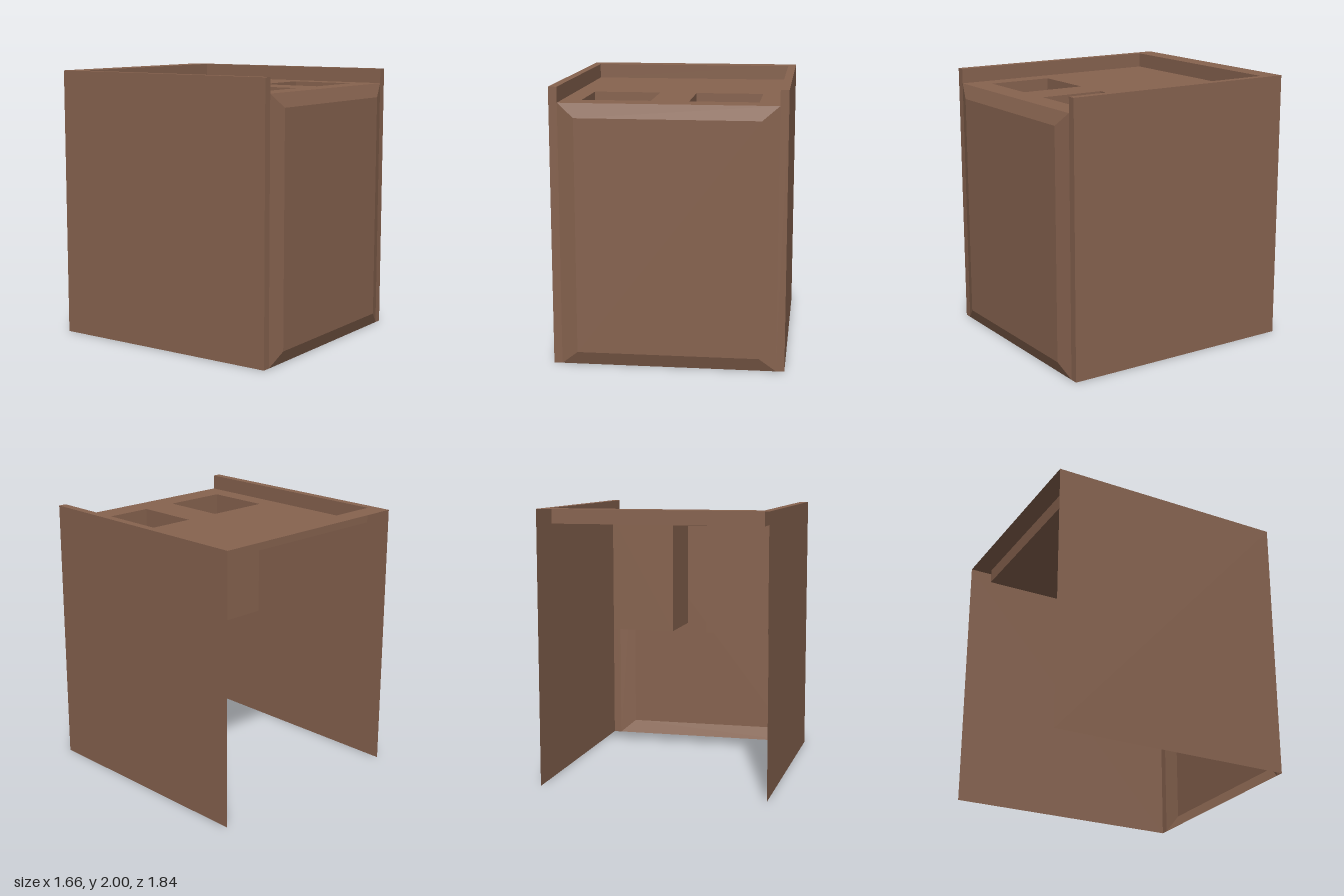
import * as THREE from 'three';

const W = 0.83, IN = 0.77;            // outer wall, inner edge of side rims
const BACK = -0.92, RIM = -0.77;      // back edge, front edge of back rim
const FRONT = 0.88, BULGE = 0.92;     // cabinet front, raised face
const TOP = 2, DECK = 1.89, BASIN = 1.0;

export function createModel() {
  const group = new THREE.Group();
  const wood = new THREE.MeshStandardMaterial({ color: 0x87634f, side: THREE.DoubleSide });
  wood.name = 'brown';

  const add = (name, geometry) => {
    const mesh = new THREE.Mesh(geometry, wood);
    mesh.name = name;
    group.add(mesh);
    return mesh;
  };

  // Sheets from four corners each, counter-clockwise seen from outside
  const sheets = (...quads) => {
    const geometry = new THREE.BufferGeometry();
    const points = quads.flatMap(([a, b, c, d]) => [a, b, c, a, c, d]).flat();
    geometry.setAttribute('position', new THREE.Float32BufferAttribute(points, 3));
    geometry.computeVertexNormals();
    return geometry;
  };
  const mirrored = (quads) => quads.map((q) => q.map(([x, y, z]) => [-x, y, z]).reverse());

  // Side walls, front corner strips and raised side rims
  const side = [
    [[W, 0, FRONT], [W, 0, BACK], [W, TOP, BACK], [W, TOP, FRONT]],
    [[IN, 0, FRONT], [W, 0, FRONT], [W, TOP, FRONT], [IN, TOP, FRONT]],
    [[IN, TOP, FRONT], [W, TOP, FRONT], [W, TOP, RIM], [IN, TOP, RIM]],
    [[IN, DECK, RIM], [IN, DECK, FRONT], [IN, TOP, FRONT], [IN, TOP, RIM]],
  ];
  add('leftSide', sheets(...side));
  add('rightSide', sheets(...mirrored(side)));

  // Raised ledge along the back
  add('backRim', sheets(
    [[-W, TOP, RIM], [W, TOP, RIM], [W, TOP, BACK], [-W, TOP, BACK]],
    [[-IN, DECK, RIM], [IN, DECK, RIM], [IN, TOP, RIM], [-IN, TOP, RIM]],
  ));

  // Front panel: flat raised face with bevelled borders
  const outer = [[-IN, 0, FRONT], [IN, 0, FRONT], [IN, DECK, FRONT], [-IN, DECK, FRONT]];
  const inner = [[-0.65, 0.1, BULGE], [0.65, 0.1, BULGE], [0.65, 1.79, BULGE], [-0.65, 1.79, BULGE]];
  const bevels = outer.map((p, i) => [p, outer[(i + 1) % 4], inner[(i + 1) % 4], inner[i]]);
  add('frontPanel', sheets(inner, ...bevels));

  // Countertop with two square openings
  const rect = (path, x0, x1, z0, z1) => {
    path.moveTo(x0, -z1);
    path.lineTo(x1, -z1);
    path.lineTo(x1, -z0);
    path.lineTo(x0, -z0);
    path.closePath();
    return path;
  };
  const deck = rect(new THREE.Shape(), -IN, IN, RIM, FRONT);
  const z0 = 0.21, z1 = 0.70;
  const basins = [['rightBasin', -0.63, -0.14], ['leftBasin', 0.13, 0.62]];
  for (const [name, x0, x1] of basins) {
    deck.holes.push(rect(new THREE.Path(), x0, x1, z0, z1));
    // Basin walls and floor, facing inward
    const ring = [[x0, z1], [x1, z1], [x1, z0], [x0, z0]];
    const walls = ring.map(([x, z], i) => {
      const [u, v] = ring[(i + 1) % 4];
      return [[u, BASIN, v], [x, BASIN, z], [x, DECK, z], [u, DECK, v]];
    });
    add(name, sheets(ring.map(([x, z]) => [x, BASIN, z]), ...walls));
  }
  const top = new THREE.ShapeGeometry(deck);
  top.rotateX(-Math.PI / 2);
  top.translate(0, DECK, 0);
  add('countertop', top);

  return group;
}
